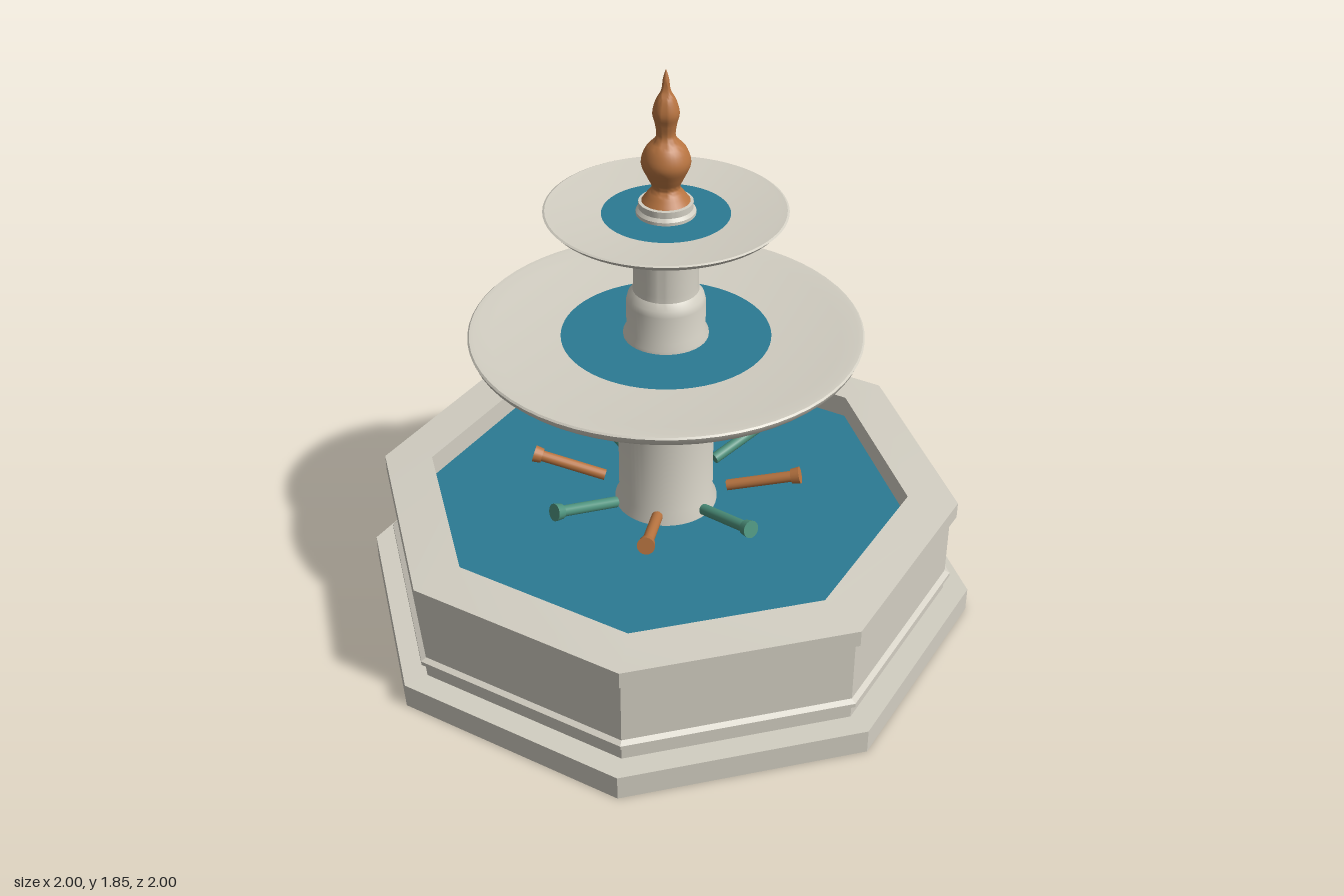
import * as THREE from 'three';
import { toCreasedNormals } from 'three/addons/utils/BufferGeometryUtils.js';

export function createModel() {
  const model = new THREE.Group();
  model.name = 'fountain';

  const material = (name, color, side = THREE.FrontSide) => {
    const m = new THREE.MeshStandardMaterial({ color, side });
    m.name = name;
    return m;
  };
  const stone = material('stone', 0xd2cec2, THREE.DoubleSide);
  const water = material('water', 0x2b7a93, THREE.DoubleSide);
  const copper = material('copper', 0xb87440);
  const verdigris = material('verdigris', 0x4d917c);

  const add = (name, geometry, mat, parent = model) => {
    const mesh = new THREE.Mesh(geometry, mat);
    mesh.name = name;
    parent.add(mesh);
    return mesh;
  };
  // Revolved profile of [radius, height] points, bottom to top on the outside
  const turned = (name, profile, mat, sides = 64, crease = 0.5) => {
    const points = profile.map(([r, y]) => new THREE.Vector2(r, y));
    return add(name, toCreasedNormals(new THREE.LatheGeometry(points, sides), crease), mat);
  };
  const pool = (name, radius, y, sides) => {
    const disc = new THREE.CircleGeometry(radius, sides);
    disc.rotateX(-Math.PI / 2);
    add(name, disc, water).position.y = y;
  };

  // Octagonal basin: an open-bottomed shell with plinth, mouldings, rim and floor
  turned('basin', [
    [1, 0], [1, 0.08], [0.92, 0.08], [0.92, 0.122], [0.937, 0.13], [0.937, 0.143],
    [0.92, 0.152], [0.92, 0.355], [0.94, 0.37], [0.94, 0.424], [0.78, 0.435],
    [0.78, 0.14], [0, 0.14],
  ], stone, 8, 0.1);
  pool('basinWater', 0.78, 0.36, 8);

  // Lower pedestal
  turned('lowerColumn', [
    [0.165, 0.14], [0.165, 0.37], [0.152, 0.40], [0.152, 0.735], [0.147, 0.74],
    [0.147, 0.79], [0.155, 0.815], [0.175, 0.84], [0, 0.845],
  ], stone);

  // Lower bowl
  turned('lowerBowl', [
    [0, 0.84], [0.17, 0.84], [0.29, 0.86], [0.41, 0.892], [0.51, 0.928], [0.59, 0.965],
    [0.603, 0.978], [0.61, 0.995], [0.605, 1.0], [0.59, 1.0], [0.54, 0.992],
    [0.32, 0.977], [0, 0.96],
  ], stone);
  pool('lowerBowlWater', 0.325, 0.98, 64);

  // Upper pedestal
  turned('upperColumn', [
    [0.132, 0.96], [0.132, 0.99], [0.122, 1.01], [0.122, 1.1], [0.117, 1.12],
    [0.102, 1.14], [0.1, 1.16], [0.1, 1.3], [0, 1.3],
  ], stone);

  // Upper bowl
  turned('upperBowl', [
    [0, 1.298], [0.1, 1.298], [0.18, 1.313], [0.26, 1.342], [0.33, 1.38],
    [0.352, 1.393], [0.366, 1.408], [0.36, 1.411], [0.34, 1.408],
    [0.19, 1.393], [0, 1.38],
  ], stone);
  pool('upperBowlWater', 0.193, 1.395, 64);

  // Finial on a small collar
  turned('finialCollar', [
    [0.09, 1.38], [0.09, 1.405], [0.082, 1.415], [0.082, 1.435], [0, 1.436],
  ], stone);
  const finialCurve = new THREE.SplineCurve([
    [0.073, 1.437], [0.055, 1.462], [0.042, 1.483], [0.056, 1.515], [0.074, 1.56],
    [0.06, 1.605], [0.03, 1.64], [0.032, 1.68], [0.04, 1.715], [0.03, 1.755],
    [0.014, 1.785], [0.009, 1.82], [0.001, 1.847],
  ].map(([r, y]) => new THREE.Vector2(r, y)));
  const finialProfile = finialCurve.getPoints(48).map((p) => [Math.max(p.x, 0), p.y]);
  turned('finial', finialProfile, copper, 32, 0.9);

  // Ring of eight spouts, alternating copper and verdigris
  const tilt = Math.atan2(0.06, 0.225);
  for (let i = 0; i < 8; i++) {
    const spout = new THREE.Group();
    spout.name = 'spout';
    spout.rotation.y = (i * Math.PI) / 4;
    const arm = new THREE.Group();
    arm.name = 'spoutArm';
    arm.position.set(0.2, 0.422, 0);
    arm.rotation.z = tilt - Math.PI / 2;
    spout.add(arm);
    const mat = i % 2 ? verdigris : copper;
    add('spoutPipe', new THREE.CylinderGeometry(0.018, 0.018, 0.22, 16), mat, arm).position.y = 0.11;
    add('spoutNozzle', new THREE.CylinderGeometry(0.028, 0.024, 0.028, 16), mat, arm).position.y = 0.228;
    model.add(spout);
  }

  return model;
}
